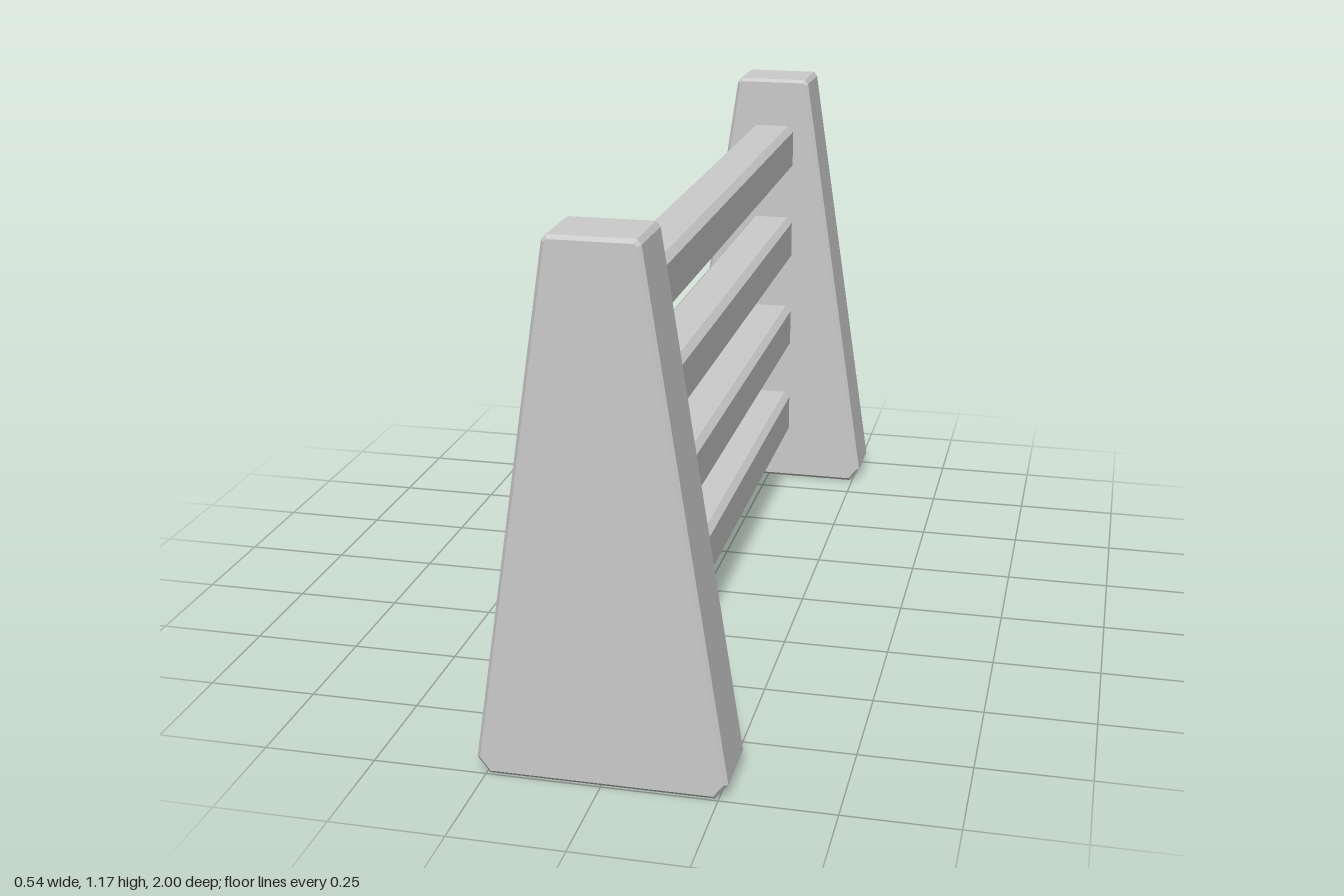
import * as THREE from 'three';

const material = new THREE.MeshStandardMaterial({ color: 0xcccccc, flatShading: true });

// Extrudes half an outline (x >= 0, bottom to top), mirrored in x, centred on z.
function extrudeMirrored(half, length, bevel) {
  const mirrored = half.map(([x, y]) => [-x, y]).reverse();
  const shape = new THREE.Shape([...half, ...mirrored].map(([x, y]) => new THREE.Vector2(x, y)));
  const geometry = new THREE.ExtrudeGeometry(shape, {
    depth: length - 2 * bevel,
    bevelEnabled: bevel > 0,
    bevelThickness: bevel,
    bevelSize: bevel,
    bevelOffset: -bevel,
    bevelSegments: 1,
  });
  return geometry.translate(0, 0, -length / 2 + bevel);
}

export function createModel() {
  const group = new THREE.Group();
  group.name = 'railFence';

  function add(name, geometry, y, z) {
    const mesh = new THREE.Mesh(geometry, material);
    mesh.name = name;
    mesh.position.set(0, y, z);
    group.add(mesh);
  }

  // Tapered end posts with chamfered feet and bevelled edges
  const postDepth = 0.164;
  const post = extrudeMirrored(
    [[0.243, 0], [0.27, 0.035], [0.099, 1.164], [0.09, 1.175]], postDepth, 0.008);
  add('frontPost', post, 0, 1 - postDepth / 2);
  add('backPost', post, 0, -1 + postDepth / 2);

  // Four chamfered rails, let into the posts
  const w = 0.06, h = 0.0625, c = 0.015;
  const rail = extrudeMirrored([[w - c, -h], [w, -h + c], [w, h - c], [w - c, h]], 1.74, 0);
  for (let i = 0; i < 4; i++) add(`rail${i + 1}`, rail, 0.2 + i * 0.261, 0);

  return group;
}
